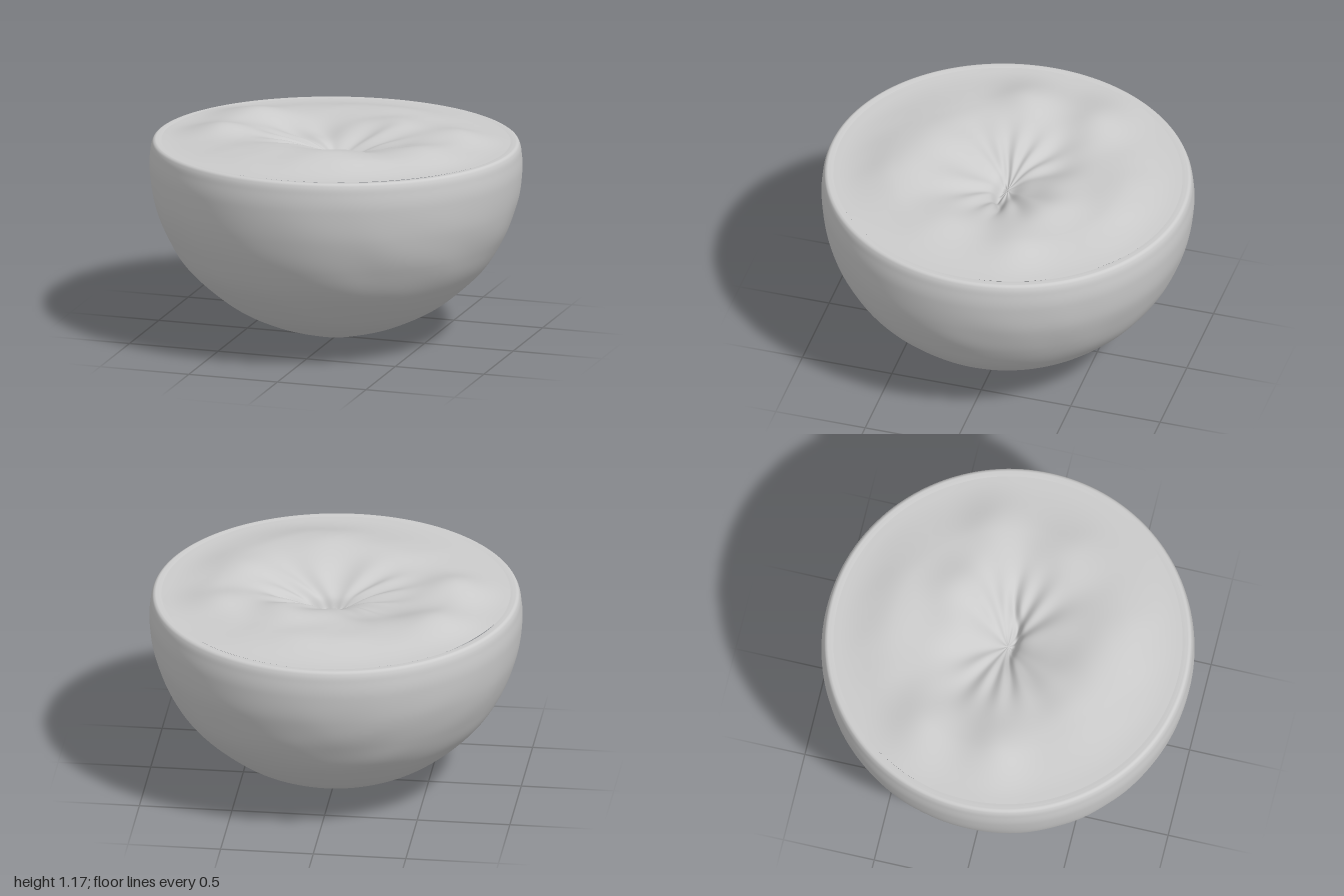
import * as THREE from 'three';
import { mergeVertices } from 'three/addons/utils/BufferGeometryUtils.js';

const SEGMENTS = 160;
const material = new THREE.MeshStandardMaterial({ color: 0xcccccc, roughness: 0.8 });

// Soft irregular ripples, about -1 to 1
const ripple = (x, y, z) =>
  (Math.sin(17 * x + 5 * y + 2 * Math.sin(9 * z)) +
   Math.sin(15 * z - 11 * y + 2 * Math.sin(8 * x)) +
   Math.sin(23 * y + 6 * x - 7 * z)) / 3;

const gauss = (x, z, cx, cz, sx, sz = sx) =>
  Math.exp(-(((x - cx) / sx) ** 2) - ((z - cz) / sz) ** 2);

// Swellings and hollows of the cut face: x, z, width in x, width in z, height
const SWELLS = [
  [0.12, 0.52, 0.33, 0.2, 0.052],
  [-0.28, 0.4, 0.2, 0.18, 0.025],
  [-0.62, 0.08, 0.18, 0.16, 0.045],
  [-0.58, -0.34, 0.2, 0.16, 0.042],
  [0.05, -0.62, 0.35, 0.16, 0.025],
  [0.22, -0.33, 0.17, 0.16, 0.04],
  [0.58, -0.22, 0.2, 0.16, 0.035],
  [0.52, 0.2, 0.18, 0.2, 0.035],
  [-0.25, -0.2, 0.2, 0.13, -0.035],
  [0.05, 0, 0.3, 0.2, -0.075],
  [0.06, 0, 0.15, 0.07, -0.05],
];

// Cut plane, a little higher at the front
const cutHeight = (z) => 1.083 + 0.022 * z;

function pulpHeight(x, z) {
  const r = Math.hypot(x, z);
  const a = Math.atan2(z, x);
  const inside = 1 - THREE.MathUtils.smoothstep(r, 0.62, 0.9);
  let y = cutHeight(z) + 0.018 * inside;
  for (const [cx, cz, sx, sz, h] of SWELLS) y += h * gauss(x, z, cx, cz, sx, sz);
  // Radial folds running into the core, and the crack across it
  y += 0.008 * Math.sin(11 * a + 3 * Math.sin(2 * a)) * Math.exp(-(((r - 0.25) / 0.16) ** 2));
  const crackLine = 0.03 - 0.15 * x + 0.015 * Math.sin(18 * x);
  y -= 0.03 * gauss(x, z, 0.06, crackLine, 0.2, 0.022);
  y += 0.002 * ripple(1.3 * x, 0, 1.3 * z) * inside;
  return y;
}

// Lathe a profile, move its vertices by a rule, and weld it for smooth normals
function shapedLathe(name, profile, rule) {
  let geo = new THREE.LatheGeometry(profile, SEGMENTS);
  const pos = geo.attributes.position;
  const v = new THREE.Vector3();
  for (let i = 0; i < pos.count; i++) {
    rule(v.fromBufferAttribute(pos, i));
    pos.setXYZ(i, v.x, v.y, v.z);
  }
  geo.deleteAttribute('uv');
  geo.deleteAttribute('normal');
  geo = mergeVertices(geo, 1e-5);
  geo.computeVertexNormals();
  const mesh = new THREE.Mesh(geo, material);
  mesh.name = name;
  return mesh;
}

export function createModel() {
  const group = new THREE.Group();
  group.name = 'halvedFruit';

  // Skin: rounded bowl with a blunt tip below and a rolled rim above
  const outline = new THREE.SplineCurve([
    [0, 0], [0.06, 0.008], [0.2, 0.045], [0.4, 0.113], [0.6, 0.222], [0.8, 0.405],
    [0.91, 0.58], [0.975, 0.76], [0.999, 0.93], [0.994, 1.03], [0.985, 1.07],
    [0.972, 1.084], [0.955, 1.085], [0.935, 1.083],
  ].map(([r, y]) => new THREE.Vector2(r, y)));
  const skinProfile = outline.getPoints(130);
  skinProfile[0].x = 0;
  group.add(shapedLathe('skin', skinProfile, (v) => {
    const rimWeight = THREE.MathUtils.smoothstep(v.y, 0.5, 1.08);
    const bump = 0.0035 * ripple(v.x, v.y, v.z) * (1 - rimWeight) *
      THREE.MathUtils.smoothstep(v.y, 0, 0.15);
    v.x *= 1 + bump;
    v.z *= 1 + bump;
    v.y += 0.022 * v.z * rimWeight;
  }));

  // Pulp: uneven cut face sinking to a creased core
  const pulpProfile = [];
  for (let i = 0; i <= 90; i++) pulpProfile.push(new THREE.Vector2(0.936 * (1 - i / 90), 1.083));
  group.add(shapedLathe('cutFace', pulpProfile, (v) => {
    v.y = pulpHeight(v.x, v.z);
  }));

  return group;
}
